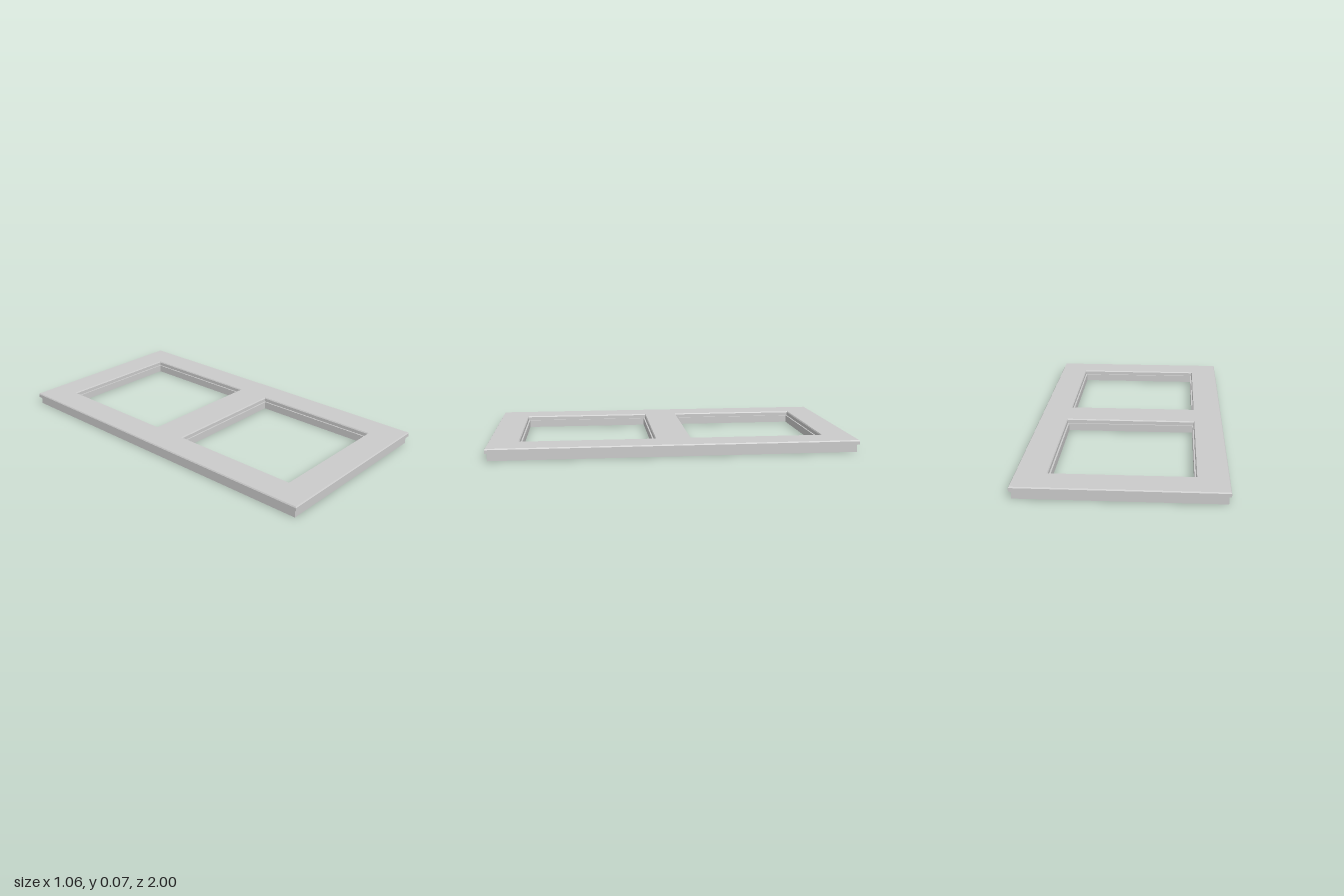
import * as THREE from 'three';

const HOLE_Z = 0.467; // centre of each square opening, mirrored front and back

function rectangle(path, cy, halfX, halfY) {
  path.moveTo(-halfX, cy - halfY);
  path.lineTo(halfX, cy - halfY);
  path.lineTo(halfX, cy + halfY);
  path.lineTo(-halfX, cy + halfY);
  path.closePath();
  return path;
}

// Rectangular panel with two square openings, lying flat with its base at y = 0
function panel(halfX, halfZ, holeHalf, depth, steps) {
  const shape = rectangle(new THREE.Shape(), 0, halfX, halfZ);
  for (const side of [-1, 1]) {
    shape.holes.push(rectangle(new THREE.Path(), side * HOLE_Z, holeHalf, holeHalf));
  }
  const geometry = new THREE.ExtrudeGeometry(shape, { depth, steps, bevelEnabled: false });
  return geometry.rotateX(-Math.PI / 2);
}

// Move the top edges back from every border, leaving a small chamfer
function chamferTop(geometry, levels, inset) {
  const p = geometry.attributes.position;
  for (let i = 0; i < p.count; i++) {
    const level = Math.round(p.getY(i));
    const x = p.getX(i), z = p.getZ(i);
    if (level === 2) {
      const outer = Math.abs(x) > 0.45;
      const fromCentre = outer ? z : z - Math.sign(z) * HOLE_Z;
      const move = outer ? -inset : inset;
      p.setX(i, x + Math.sign(x) * move);
      p.setZ(i, z + Math.sign(fromCentre) * move);
    }
    p.setY(i, levels[level]);
  }
  geometry.computeVertexNormals();
  return geometry;
}

export function createModel() {
  const group = new THREE.Group();
  const material = new THREE.MeshStandardMaterial({ color: 0xcccccc, flatShading: true });

  // Lower frame: narrower outside, projecting into the openings as a ledge
  const base = new THREE.Mesh(panel(0.521, 0.989, 0.36, 0.042, 1), material);
  base.name = 'baseFrame';

  // Upper frame: overhangs the base and has chamfered top edges
  const topGeometry = chamferTop(panel(0.532, 1, 0.368, 2, 2), [0.042, 0.061, 0.067], 0.004);
  const top = new THREE.Mesh(topGeometry, material);
  top.name = 'topFrame';

  group.add(base, top);
  return group;
}
